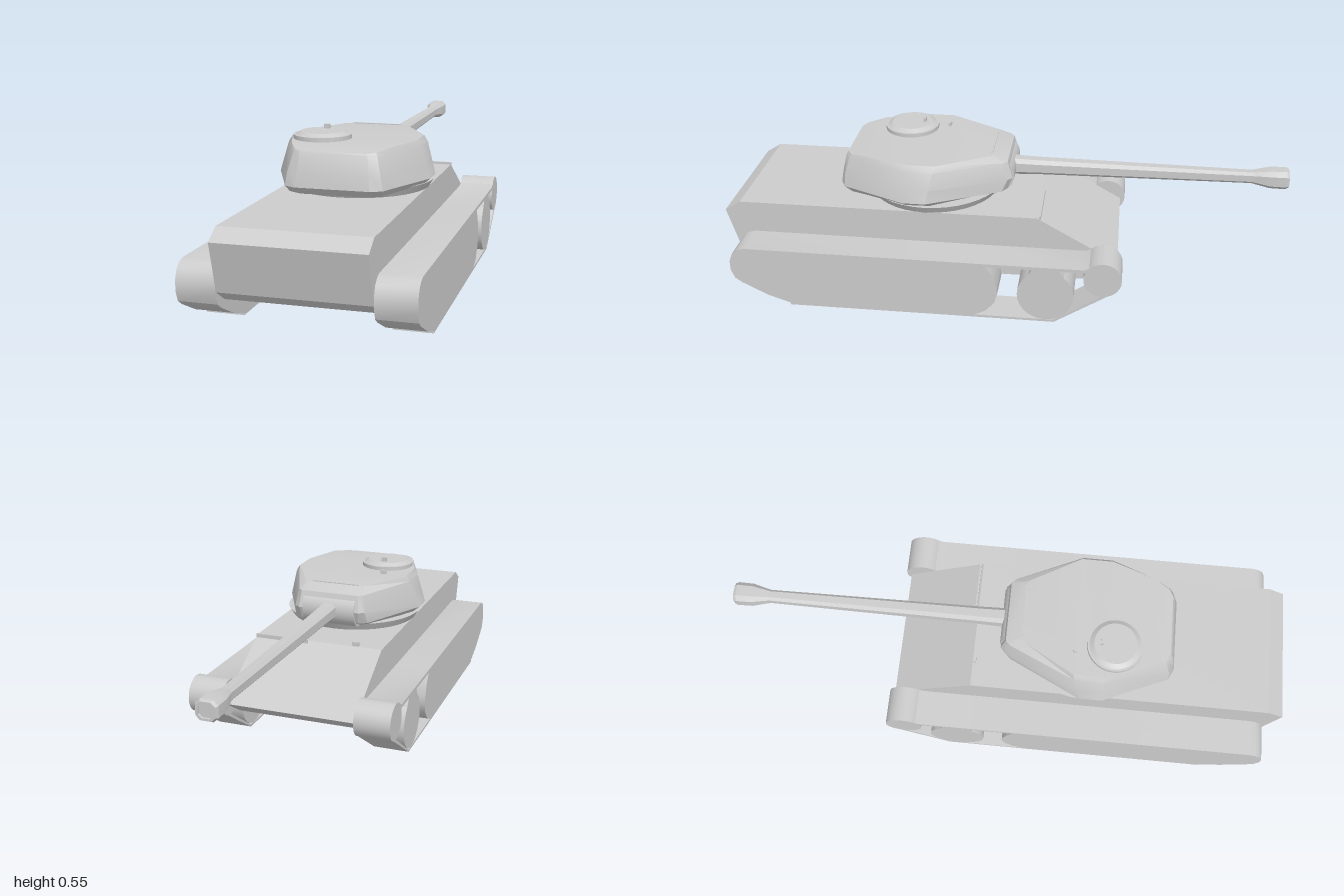
import * as THREE from 'three';
import { toCreasedNormals } from 'three/addons/utils/BufferGeometryUtils.js';

const mat = new THREE.MeshStandardMaterial({ color: 0xcccccc });

function add(parent, name, geo, x = 0, y = 0, z = 0) {
  const m = new THREE.Mesh(geo, mat);
  m.name = name;
  m.position.set(x, y, z);
  parent.add(m);
  return m;
}

// Side profile given as [z, y], extruded across x and centred.
function sideProfile(points, width) {
  const shape = new THREE.Shape(points.map(([z, y]) => new THREE.Vector2(z, y)));
  const geo = new THREE.ExtrudeGeometry(shape, { depth: width, bevelEnabled: false });
  geo.translate(0, 0, -width / 2);
  geo.rotateY(-Math.PI / 2);
  return toCreasedNormals(geo, 0.5);
}

// Loft of mirrored rings stacked upward; each ring lists its +x half as [x, y, z], ordered by z.
function loft(halves, crease) {
  const rings = halves.map(h => [...h, ...h.slice().reverse().map(([x, y, z]) => [-x, y, z])]);
  const pos = [];
  const quad = (a, b, c, d) => pos.push(...a, ...b, ...c, ...a, ...c, ...d);
  const n = rings[0].length;
  for (let r = 0; r < rings.length - 1; r++) {
    const a = rings[r], b = rings[r + 1];
    for (let i = 0; i < n; i++) {
      const j = (i + 1) % n;
      quad(a[i], b[i], b[j], a[j]);
    }
  }
  const bottom = rings[0], top = rings[rings.length - 1];
  for (let i = 0; i < n / 2 - 1; i++) {
    const m = n - 1 - i;
    quad(top[i], top[m], top[m - 1], top[i + 1]);
    quad(bottom[i], bottom[i + 1], bottom[m - 1], bottom[m]);
  }
  const geo = new THREE.BufferGeometry();
  geo.setAttribute('position', new THREE.Float32BufferAttribute(pos, 3));
  return toCreasedNormals(geo, crease);
}

// Cylinder lying across the vehicle.
const axle = (r, width) => new THREE.CylinderGeometry(r, r, width, 28).rotateZ(Math.PI / 2);

function makeTrack(side) {
  const g = new THREE.Group();
  g.name = side > 0 ? 'leftTrack' : 'rightTrack';
  const w = 0.128;
  add(g, 'trackBody', sideProfile([
    [0.74, 0.004], [0.83, 0.035], [0.92, 0.082], [0.945, 0.1], [0.958, 0.135], [0.957, 0.17],
    [0.945, 0.2], [0.925, 0.217], [0.9, 0.224], [0.05, 0.222], [0.02, 0.18], [0.002, 0.13],
    [0.0, 0.1], [0.01, 0.065], [0.04, 0.03], [0.08, 0.01], [0.125, 0.004],
  ].reverse(), w));
  // Upper run, rising over the drive wheel
  add(g, 'upperRun', sideProfile([
    [0.06, 0.21], [0.06, 0.222], [-0.3, 0.222], [-0.36, 0.25], [-0.36, 0.24], [-0.3, 0.21],
  ], w));
  // Lower run, climbing from the ground to the drive wheel
  add(g, 'lowerRun', sideProfile([
    [0.75, 0], [-0.2, 0], [-0.4, 0.132], [-0.396, 0.142], [-0.2, 0.009], [0.75, 0.009],
  ], w));
  add(g, 'driveWheel', axle(0.066, w), 0, 0.184, -0.364);
  add(g, 'roadWheel', axle(0.099, w), 0, 0.108, -0.168);
  // Bracket filling the space above the road wheel
  add(g, 'wheelBracket', sideProfile([
    [-0.12, 0.21], [-0.215, 0.21], [-0.24, 0.17], [-0.1, 0.17],
  ], w));
  g.position.x = side * 0.305;
  return g;
}

function makeTurret() {
  const g = new THREE.Group();
  g.name = 'turret';
  const at = (pts, y) => pts.map(([x, z, yy]) => [x, yy ?? y, z]);
  const foot = [[0.08, 0.04], [0.12, 0.06], [0.235, 0.25], [0.238, 0.335], [0.18, 0.48], [0.155, 0.55], [0.11, 0.575]];
  const wide = [[0.11, -0.008], [0.14, 0.01], [0.264, 0.265], [0.264, 0.345], [0.18, 0.535], [0.163, 0.575], [0.125, 0.594]];
  const mid = [[0.115, -0.026], [0.135, -0.01], [0.25, 0.255], [0.25, 0.345], [0.172, 0.535], [0.155, 0.572], [0.12, 0.586]];
  const brow = [[0.11, -0.008], [0.126, 0.008], [0.231, 0.24], [0.231, 0.345], [0.172, 0.5], [0.14, 0.555], [0.113, 0.572]];
  const roof = [[0.095, 0.045], [0.112, 0.05], [0.217, 0.235], [0.217, 0.345], [0.168, 0.49], [0.135, 0.55, 0.502], [0.108, 0.566, 0.5]];
  add(g, 'turretShell', loft([at(foot, 0.362), at(wide, 0.385), at(mid, 0.43), at(brow, 0.49), at(roof, 0.511)], 0.45));
  add(g, 'turretRing', toCreasedNormals(new THREE.CylinderGeometry(0.258, 0.238, 0.032, 40), 0.5), 0, 0.352, 0.27)
    .scale.set(1, 1, 0.98);
  add(g, 'mantlet', toCreasedNormals(axle(0.066, 0.2), 0.5), 0, 0.428, 0.036);

  // Commander's cupola
  const cupola = [[0, 0.505], [0.098, 0.505], [0.098, 0.525], [0.09, 0.525], [0.074, 0.535], [0, 0.535]]
    .map(([r, y]) => new THREE.Vector2(r, y));
  add(g, 'cupola', toCreasedNormals(new THREE.LatheGeometry(cupola, 32), 0.4), -0.1, 0, 0.372);

  // Small roof fittings
  add(g, 'cupolaPeriscope', new THREE.BoxGeometry(0.02, 0.018, 0.01), -0.1, 0.541, 0.325);
  add(g, 'roofPeriscope', new THREE.BoxGeometry(0.022, 0.018, 0.01), -0.127, 0.516, 0.235);
  add(g, 'roofRail', new THREE.BoxGeometry(0.18, 0.008, 0.006), 0, 0.51, 0.05);
  return g;
}

// Gun with chamfered square sections, built upright and laid along -z
function makeGun() {
  const ring = (hw, hh, d) => [[0.55, -1], [1, -0.55], [1, 0.55], [0.55, 1]].map(([x, z]) => [x * hw, d, z * hh]);
  const geo = loft([
    ring(0.03, 0.032, 0), ring(0.028, 0.028, 0.1), ring(0.021, 0.021, 0.87), ring(0.024, 0.024, 0.885),
    ring(0.036, 0.033, 0.935), ring(0.037, 0.034, 0.99), ring(0.032, 0.029, 1),
    ring(0.024, 0.022, 1), ring(0.024, 0.022, 0.992),
  ], 0.4);
  geo.rotateX(-Math.PI / 2);
  return geo;
}

export function createModel() {
  const model = new THREE.Group();
  model.name = 'tank';

  add(model, 'hull', sideProfile([
    [0.944, 0.34], [1, 0.305], [0.957, 0.142], [0.9, 0.103], [-0.29, 0.103], [-0.412, 0.178], [-0.125, 0.34],
  ].reverse(), 0.478));
  add(model, 'splashGuard', new THREE.BoxGeometry(0.2, 0.014, 0.006), 0.138, 0.34, -0.135);
  add(model, 'driverPeriscope', new THREE.BoxGeometry(0.024, 0.018, 0.01), -0.14, 0.346, -0.118);

  for (const side of [-1, 1]) model.add(makeTrack(side));
  model.add(makeTurret());
  add(model, 'gun', makeGun(), 0, 0.426, 0);
  return model;
}
